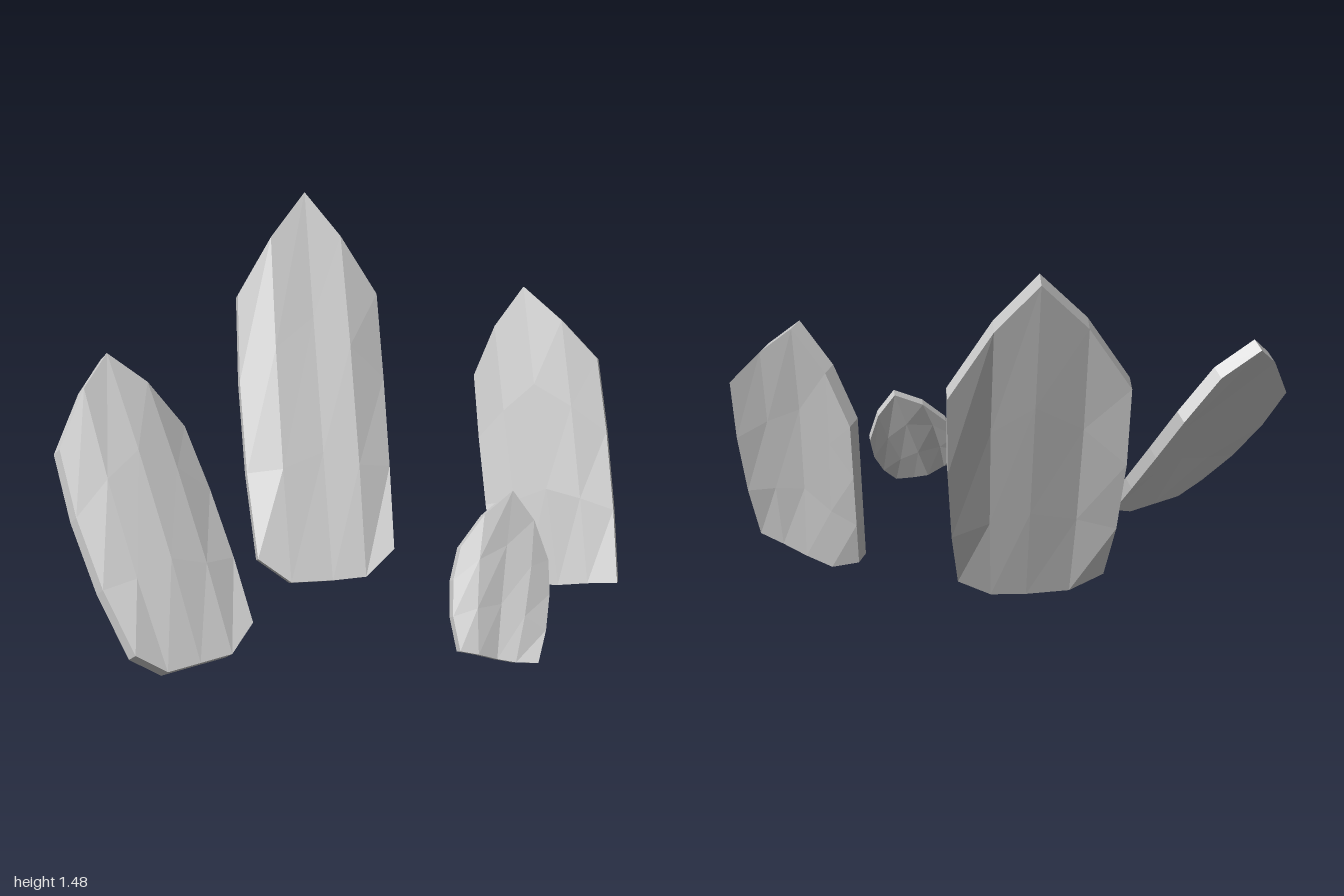
import * as THREE from 'three';

const ROWS = [0, 0.32, 0.67, 1]; // heights of the facet rows along a shard
const V = (p) => new THREE.Vector3(...p);

// A shard is a bent slab: its front runs from a bottom edge to a pointed top edge
// (five points each, left to right), and its back is the front moved by the thickness.
function shard({ name, bottom, top, thickness, bulge, sag, ridge }) {
  const lo = bottom.map(V), hi = top.map(V);
  const across = hi[4].clone().sub(hi[0]).add(lo[4]).sub(lo[0]).normalize();
  const up = hi[2].clone().sub(lo[2]);
  const normal = across.clone().cross(up).normalize();
  const n = lo.length, rows = ROWS.length;

  // front grid, with wider sides, set-back edges and a slight centre ridge
  const front = [];
  for (const t of ROWS) {
    const swell = Math.sin(Math.PI * t);
    for (let c = 0; c < n; c++) {
      const s = c / 2 - 1;
      front.push(lo[c].clone().lerp(hi[c], t)
        .addScaledVector(across, s * bulge * swell)
        .addScaledVector(normal, (c === 2 ? ridge : s * s > 0.9 ? -sag : 0) * swell));
    }
  }
  const back = front.map((p) => p.clone().addScaledVector(normal, -thickness));
  const points = [...front, ...back];

  // front and back faces
  const index = [], B = front.length;
  const quad = (a, b, c, d) => index.push(a, b, c, a, c, d);
  for (let r = 0; r < rows - 1; r++) {
    for (let c = 0; c < n - 1; c++) {
      const i = r * n + c;
      quad(i, i + 1, i + n + 1, i + n);
      quad(B + i + 1, B + i, B + i + n, B + i + n + 1);
    }
  }

  // rim all the way round
  const loop = [];
  for (let c = 0; c < n - 1; c++) loop.push(c);
  for (let r = 0; r < rows - 1; r++) loop.push(r * n + n - 1);
  for (let c = n - 1; c > 0; c--) loop.push((rows - 1) * n + c);
  for (let r = rows - 1; r > 0; r--) loop.push(r * n);
  loop.forEach((a, k) => {
    const b = loop[(k + 1) % loop.length];
    quad(a, B + a, B + b, b);
  });

  let geometry = new THREE.BufferGeometry().setFromPoints(points);
  geometry.setIndex(index);
  geometry = geometry.toNonIndexed();
  geometry.computeVertexNormals();
  const mesh = new THREE.Mesh(geometry,
    new THREE.MeshStandardMaterial({ color: 0xcccccc, flatShading: true }));
  mesh.name = name;
  return mesh;
}

const SHARDS = [
  { // tall shard at the back
    name: 'tallBackShard', thickness: 0.05, bulge: 0.015, sag: 0.035, ridge: -0.006,
    bottom: [[-0.29, 0.15, -0.19], [-0.17, 0.06, -0.155], [-0.01, 0.055, -0.157], [0.12, 0.06, -0.155], [0.24, 0.15, -0.19]],
    top: [[-0.29, 1.1, -0.585], [-0.15, 1.32, -0.62], [0, 1.49, -0.69], [0.13, 1.32, -0.62], [0.27, 1.09, -0.585]],
  },
  { // leaning shard on the model's right
    name: 'rightShard', thickness: 0.05, bulge: 0.025, sag: 0.015, ridge: 0.018,
    bottom: [[-0.8, 0.1, 0.52], [-0.7, 0.032, 0.51], [-0.59, 0.032, 0.46], [-0.48, 0.032, 0.41], [-0.395, 0.1, 0.32]],
    top: [[-1, 0.69, 0.15], [-0.91, 0.87, 0.04], [-0.825, 0.97, -0.065], [-0.69, 0.865, -0.06], [-0.565, 0.7, -0.07]],
  },
  { // upright shard on the model's left
    name: 'leftShard', thickness: 0.05, bulge: 0.01, sag: 0.015, ridge: 0.018,
    bottom: [[0.575, 0.115, 0], [0.68, 0.06, 0.06], [0.78, 0.07, 0.13], [0.87, 0.09, 0.19], [0.96, 0.105, 0.25]],
    top: [[0.56, 0.81, -0.225], [0.63, 1.0, -0.2], [0.73, 1.15, -0.17], [0.85, 1.03, -0.08], [0.97, 0.89, -0.015]],
  },
  { // small shard in front
    name: 'smallFrontShard', thickness: 0.03, bulge: 0.025, sag: 0.012, ridge: -0.008,
    bottom: [[0.2, 0.1, 0.72], [0.26, 0.085, 0.725], [0.33, 0.055, 0.705], [0.39, 0.042, 0.715], [0.465, 0.035, 0.72]],
    top: [[0.25, 0.39, 0.56], [0.34, 0.485, 0.53], [0.45, 0.55, 0.495], [0.52, 0.45, 0.515], [0.56, 0.32, 0.55]],
  },
];

export function createModel() {
  const model = new THREE.Group();
  model.name = 'shardCluster';
  for (const spec of SHARDS) model.add(shard(spec));
  return model;
}
